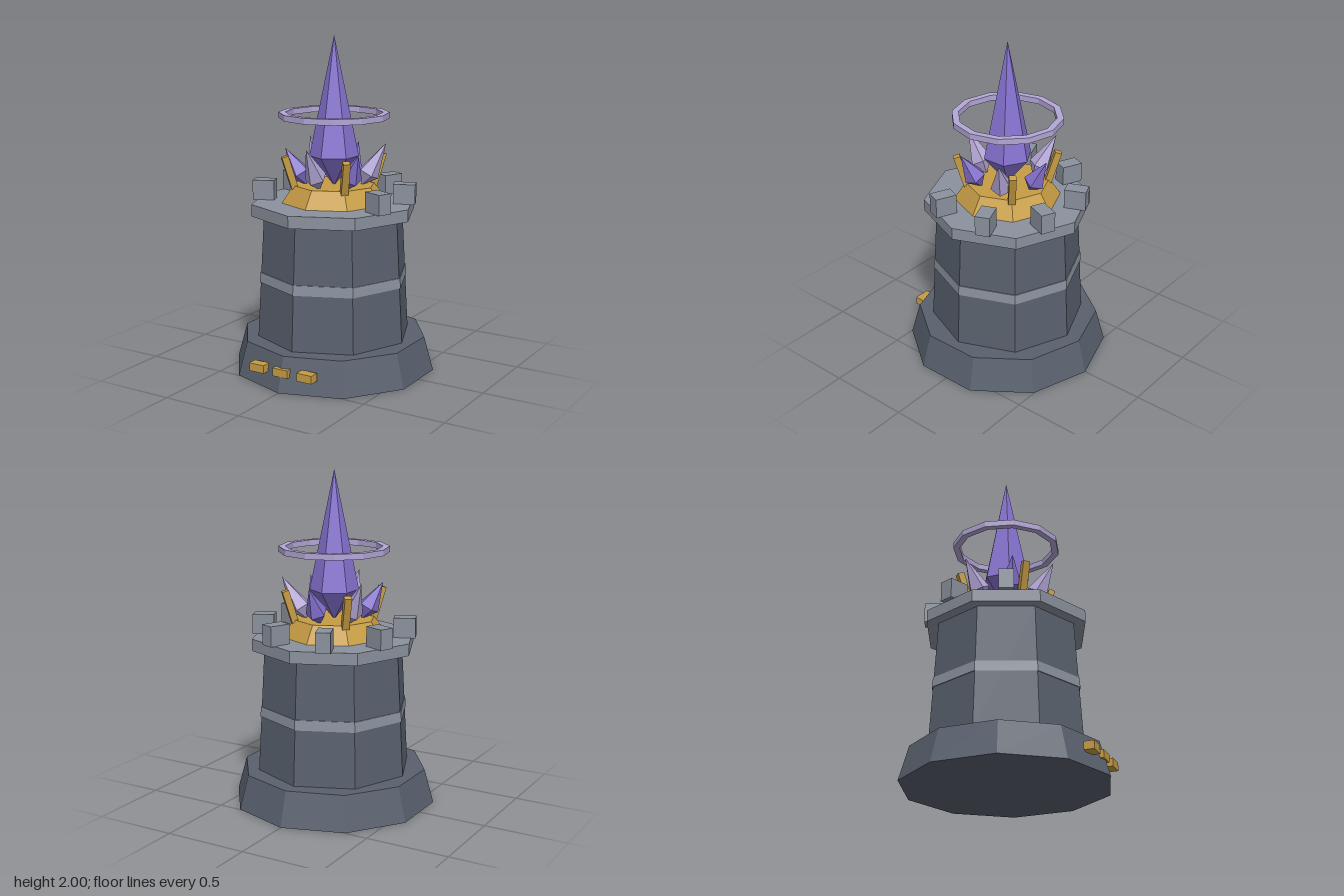
import * as THREE from 'three';

const material = (name, color) => {
  const m = new THREE.MeshStandardMaterial({ color });
  m.name = name;
  return m;
};

export function createModel() {
  const tower = new THREE.Group();
  tower.name = 'crystalTower';

  const darkStone = material('darkStone', 0x59616e);
  const paleStone = material('paleStone', 0x8b929e);
  const gold = material('gold', 0xc79d45);
  const violet = material('violet', 0x8672d0);
  const lavender = material('lavender', 0xb3a6d6);

  // Faceted mesh: split vertices so every face has its own normal
  const add = (parent, name, geometry, mat, x = 0, y = 0, z = 0) => {
    const g = geometry.index ? geometry.toNonIndexed() : geometry;
    g.computeVertexNormals();
    const mesh = new THREE.Mesh(g, mat);
    mesh.name = name;
    mesh.position.set(x, y, z);
    parent.add(mesh);
    return mesh;
  };
  // Prism or frustum between two heights
  const tier = (name, mat, sides, y0, r0, y1, r1) =>
    add(tower, name, new THREE.CylinderGeometry(r1, r0, y1 - y0, sides), mat, 0, (y0 + y1) / 2, 0);
  const lathe = (pts, sides) =>
    new THREE.LatheGeometry(pts.map(([r, y]) => new THREE.Vector2(r, y)), sides);
  // Group turned about the tower axis, its +z pointing outward
  const spoke = (name, angle) => {
    const g = new THREE.Group();
    g.name = name;
    g.rotation.y = angle;
    tower.add(g);
    return g;
  };

  // Stone tower
  tier('base', darkStone, 10, 0, 0.615, 0.205, 0.558);
  tier('shaft', darkStone, 8, 0.2, 0.47, 0.95, 0.427);
  tier('band', paleStone, 8, 0.54, 0.457, 0.6, 0.452);
  tier('platform', paleStone, 8, 0.945, 0.5, 1.017, 0.5);
  tier('crystalSocket', gold, 8, 1.015, 0.32, 1.12, 0.25);

  // Battlements, open at the front
  for (let i = 1; i < 7; i++) {
    const s = spoke('battlement', Math.PI / 8 + (i * Math.PI) / 4);
    add(s, 'merlon', new THREE.BoxGeometry(0.088, 0.12, 0.13), paleStone, 0, 1.075, 0.423);
  }

  // Gold blocks on the front of the base
  for (const x of [-0.163, 0, 0.163]) {
    add(tower, 'baseBlock', new THREE.BoxGeometry(0.1, 0.048, 0.06), gold, x, 0.114, 0.566);
  }

  // Central crystal
  add(tower, 'mainCrystal', lathe([[0, 1.11], [0.147, 1.29], [0, 2]], 6), violet);

  // Floating ring with a rectangular section
  const ring = [[0.288, 1.515], [0.328, 1.515], [0.328, 1.55], [0.288, 1.55], [0.288, 1.515]];
  add(tower, 'floatingRing', lathe(ring, 12), lavender);

  // Small crystals leaning outward, alternating colours
  for (let i = 0; i < 6; i++) {
    const pale = i % 2 === 0;
    const s = spoke('crystalMount', (i * Math.PI) / 3);
    const shard = lathe([[0, -0.085], [0.066, 0], [0, pale ? 0.21 : 0.172]], 5);
    const mesh = add(s, 'smallCrystal', shard, pale ? lavender : violet, 0, 1.185, 0.204);
    mesh.rotation.x = 0.52;
  }

  // Gold claws on the diagonals
  for (let i = 0; i < 4; i++) {
    const s = spoke('clawMount', Math.PI / 4 + (i * Math.PI) / 2);
    const claw = add(s, 'claw', new THREE.BoxGeometry(0.042, 0.2, 0.04), gold, 0, 1.2, 0.27);
    claw.rotation.x = 0.3;
  }

  return tower;
}
